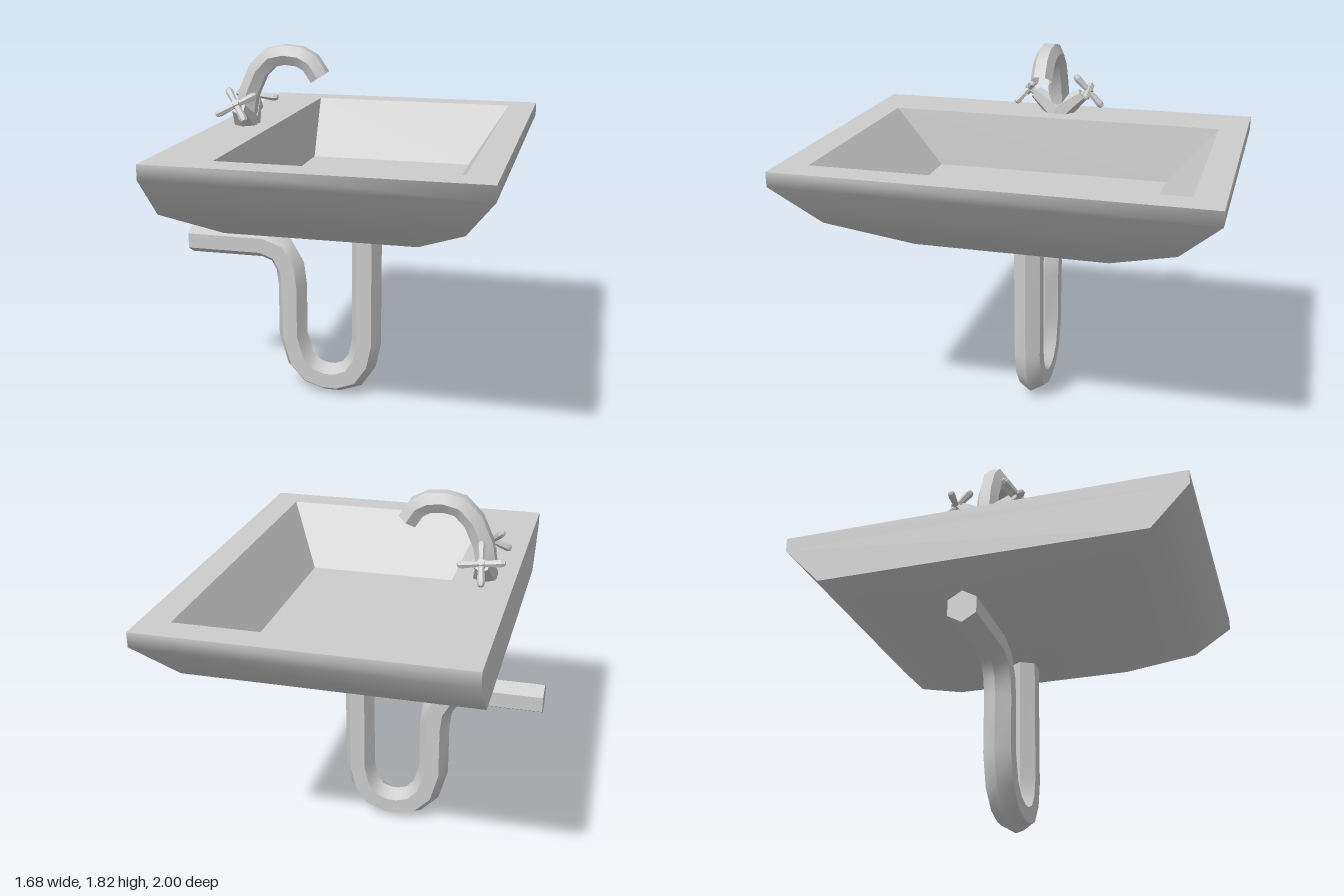
import * as THREE from 'three';

const grey = new THREE.MeshStandardMaterial({ color: 0xcccccc, side: THREE.DoubleSide });
grey.name = 'grey ceramic';

function add(parent, name, geometry) {
  const mesh = new THREE.Mesh(geometry, grey);
  mesh.name = name;
  parent.add(mesh);
  return mesh;
}

function build(pos, idx) {
  const g = new THREE.BufferGeometry();
  g.setAttribute('position', new THREE.Float32BufferAttribute(pos, 3));
  g.setIndex(idx);
  g.computeVertexNormals();
  return g;
}

function flat(g) {
  const f = g.toNonIndexed();
  f.computeVertexNormals();
  return f;
}

// Joins rectangular loops [y, x0, x1, halfZ]; keep(band, side) selects faces
function loftRects(loops, keep, cap) {
  const pos = [], idx = [];
  for (const [y, x0, x1, z] of loops) pos.push(x0, y, z, x1, y, z, x1, y, -z, x0, y, -z);
  for (let i = 0; i < loops.length - 1; i++)
    for (let k = 0; k < 4; k++) {
      if (!keep(i, k)) continue;
      const a = i * 4 + k, b = i * 4 + (k + 1) % 4;
      idx.push(a, a + 4, b + 4, a, b + 4, b);
    }
  const e = (loops.length - 1) * 4;
  if (cap === 'first') idx.push(0, 1, 2, 0, 2, 3);
  if (cap === 'last') idx.push(e + 3, e + 2, e + 1, e + 3, e + 1, e);
  return build(pos, idx);
}

// Six-sided tube along a path in the xy plane: smooth lengthwise, sharp between sides
function hexTube(path, radius, turn, capStart) {
  const pts = path.map(([x, y]) => new THREE.Vector2(x, y));
  const n = pts.length, pos = [], idx = [];
  const ring = pts.map((p, i) => {
    const d0 = pts[Math.max(i, 1)].clone().sub(pts[Math.max(i, 1) - 1]).normalize();
    const j = Math.min(i, n - 2);
    const d1 = pts[j + 1].clone().sub(pts[j]).normalize();
    const t = d0.clone().add(d1).normalize();
    const miter = 1 / t.dot(d0);
    return (k) => {
      const a = turn + k * Math.PI / 3, c = Math.cos(a) * radius * miter;
      return [p.x - t.y * c, p.y + t.x * c, Math.sin(a) * radius];
    };
  });
  for (let k = 0; k < 6; k++) {
    const base = pos.length / 3;
    ring.forEach((r) => pos.push(...r(k), ...r(k + 1)));
    for (let i = 0; i < n - 1; i++) {
      const a = base + i * 2;
      idx.push(a, a + 1, a + 3, a, a + 3, a + 2);
    }
  }
  if (capStart) {
    const base = pos.length / 3;
    for (let k = 0; k < 6; k++) pos.push(...ring[0](k));
    for (let k = 1; k < 5; k++) idx.push(base, base + k + 1, base + k);
  }
  return build(pos, idx);
}

// Tapered low-poly rod between two points
function rod(parent, name, from, to, r0, r1) {
  const a = new THREE.Vector3(...from), b = new THREE.Vector3(...to), d = b.clone().sub(a);
  const mesh = add(parent, name, flat(new THREE.CylinderGeometry(r1, r0, d.length(), 6)));
  mesh.position.copy(a).add(b).multiplyScalar(0.5);
  mesh.quaternion.setFromUnitVectors(new THREE.Vector3(0, 1, 0), d.normalize());
}

function makeBasin() {
  const basin = new THREE.Group();
  basin.name = 'basin';

  // Outer shell, rounded below, with a flat wall at the tap side
  const outer = [
    [1.42, -0.67, 0.84, 1], [1.35, -0.67, 0.84, 1], [1.15, -0.67, 0.7, 0.81],
    [0.98, -0.49, 0.44, 0.47], [0.915, -0.06, 0.22, 0.19],
  ];
  const isWall = (i, k) => k === 3 && i < 2;
  add(basin, 'outerShell', loftRects(outer, (i, k) => !isWall(i, k), 'last'));
  add(basin, 'wallFace', flat(loftRects(outer, isWall)));

  // Flat rim with the bowl opening
  const rect = (s, x0, x1, z) => s.moveTo(x0, -z).lineTo(x1, -z).lineTo(x1, z).lineTo(x0, z).closePath();
  const rim = rect(new THREE.Shape(), -0.67, 0.84, 1);
  rim.holes.push(rect(new THREE.Path(), -0.38, 0.7, 0.86));
  add(basin, 'rim', new THREE.ShapeGeometry(rim).rotateX(-Math.PI / 2).translate(0, 1.42, 0));

  // Inner bowl
  const inner = [[1.13, -0.35, 0.52, 0.61], [1.42, -0.38, 0.7, 0.86]];
  add(basin, 'bowl', flat(loftRects(inner, () => true, 'first')));
  return basin;
}

function makeTap() {
  const tap = new THREE.Group();
  tap.name = 'tap';
  add(tap, 'spout', hexTube([
    [-0.525, 1.42], [-0.525, 1.5], [-0.51, 1.58], [-0.46, 1.69], [-0.395, 1.755],
    [-0.32, 1.772], [-0.245, 1.765], [-0.19, 1.735], [-0.145, 1.667],
  ], 0.055, Math.PI / 6, false));

  for (const s of [1, -1]) {
    // Valve arm and stem
    rod(tap, 'valveArm', [-0.525, 1.43, s * 0.01], [-0.525, 1.52, s * 0.128], 0.065, 0.034);
    rod(tap, 'valveStem', [-0.525, 1.51, s * 0.12], [-0.525, 1.555, s * 0.175], 0.018, 0.018);

    // Cross handle, tilted outward
    const handle = new THREE.Group();
    handle.name = s > 0 ? 'frontHandle' : 'backHandle';
    handle.position.set(-0.525, 1.54, s * 0.16);
    handle.rotation.x = s * 0.85;
    const spin = s > 0 ? 0.6 : 0.12;
    const profile = [[0, -0.113], [0.014, -0.108], [0.02, -0.09], [0.013, 0],
      [0.02, 0.09], [0.014, 0.108], [0, 0.113]].map((p) => new THREE.Vector2(...p));
    for (let k = 0; k < 2; k++) {
      const bar = add(handle, 'handleBar', flat(new THREE.LatheGeometry(profile, 6).rotateZ(Math.PI / 2)));
      bar.rotation.y = spin + k * Math.PI / 2;
    }
    tap.add(handle);
  }
  return tap;
}

export function createModel() {
  const model = new THREE.Group();
  model.name = 'sink';
  model.add(makeBasin(), makeTap());

  // Drain trap from the wall, through the U bend, up to the basin
  add(model, 'drainPipe', hexTube([
    [-0.845, 0.798], [-0.45, 0.798], [-0.36, 0.765], [-0.312, 0.68], [-0.3, 0.58],
    [-0.3, 0.31], [-0.262, 0.175], [-0.195, 0.105], [-0.12, 0.082], [-0.06, 0.082],
    [0.02, 0.112], [0.073, 0.19], [0.096, 0.3], [0.096, 0.95],
  ], 0.077, 0, true));
  return model;
}
